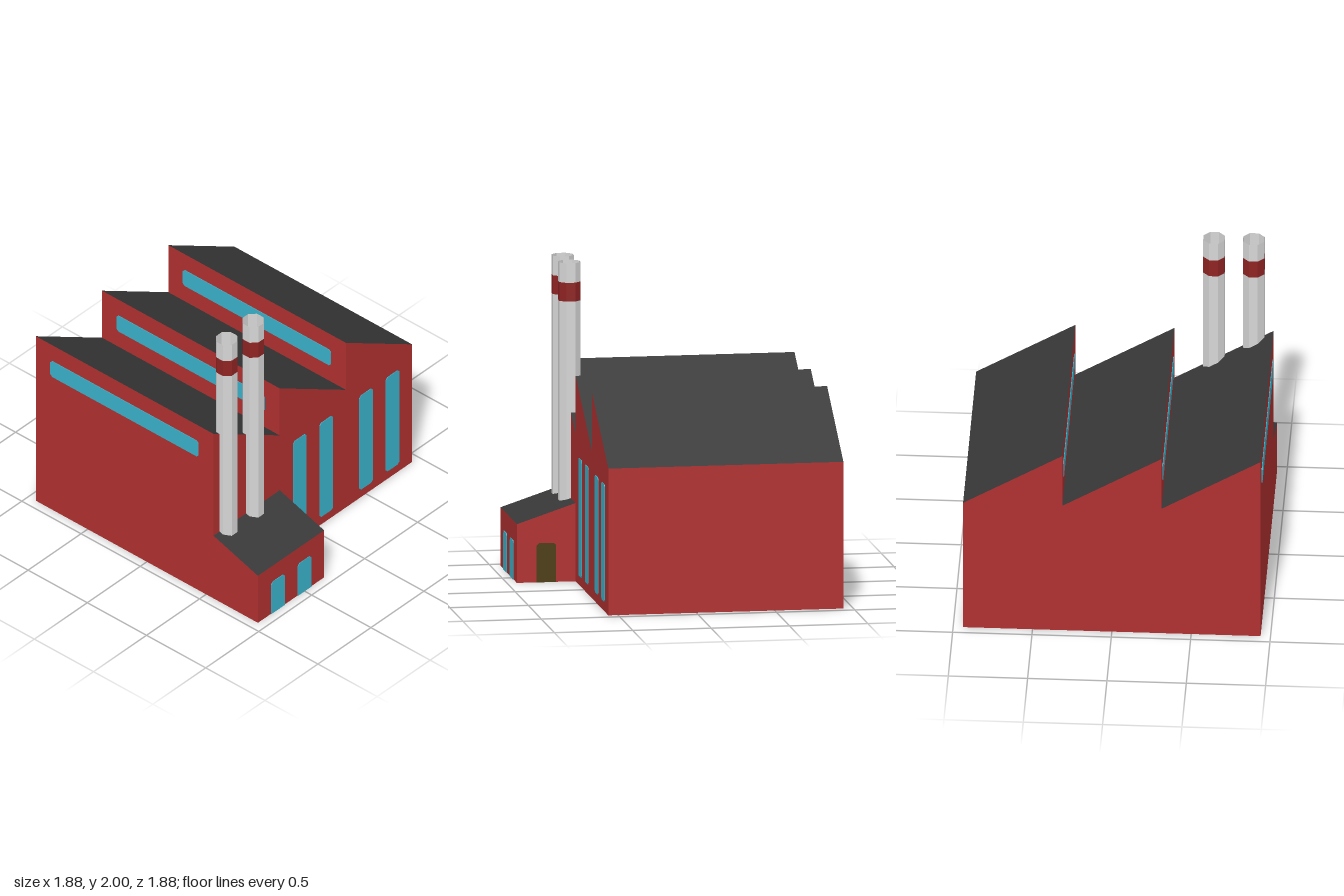
import * as THREE from 'three';
import { mergeGeometries } from 'three/addons/utils/BufferGeometryUtils.js';

const material = (name, color, extra = {}) => {
  const m = new THREE.MeshStandardMaterial({ color, ...extra });
  m.name = name;
  return m;
};

export function createModel() {
  const brick = material('brick red', 0xb03030);
  const roof = material('roof charcoal', 0x383838);
  const floor = material('floor slate', 0x434b5b);
  const glass = material('window blue', 0x3ab2ca);
  const wood = material('door brown', 0x4d3c10);
  const concrete = material('chimney grey', 0xd6d6d6, { side: THREE.DoubleSide });
  const band = material('band dark red', 0x8f2323, { side: THREE.DoubleSide });

  const model = new THREE.Group();
  model.name = 'factory';

  const add = (parent, name, geometry, mat) => {
    const mesh = new THREE.Mesh(geometry, mat);
    mesh.name = name;
    parent.add(mesh);
    return mesh;
  };

  // One rectangular face swept along z from a profile edge a-b
  const edgeFace = (a, b, z0, z1) => {
    const g = new THREE.PlaneGeometry(1, 1);
    const corners = [[...a, z1], [...b, z1], [...a, z0], [...b, z0]];
    corners.forEach((c, i) => g.attributes.position.setXYZ(i, ...c));
    g.setIndex([0, 2, 3, 0, 3, 1]);
    g.computeVertexNormals();
    return g;
  };

  // Building: counter-clockwise profile of [x, y, material of the edge that starts here]
  const building = (name, profile, z0, z1) => {
    const group = new THREE.Group();
    group.name = name;
    const pts = profile.map(([x, y]) => [x, y]);
    const shape = new THREE.Shape(pts.map((p) => new THREE.Vector2(...p)));
    const near = new THREE.ShapeGeometry(shape).translate(0, 0, z1);
    const far = new THREE.ShapeGeometry(shape).translate(0, 0, z0);
    far.index.array.reverse();
    far.computeVertexNormals();
    const faces = new Map([[brick, [near, far]], [roof, []], [floor, []]]);
    profile.forEach(([, , mat], i) => {
      if (mat) faces.get(mat).push(edgeFace(pts[i], pts[(i + 1) % pts.length], z0, z1));
    });
    add(group, 'walls', mergeGeometries(faces.get(brick)), brick);
    add(group, 'roof', mergeGeometries(faces.get(roof)), roof);
    add(group, 'floor', mergeGeometries(faces.get(floor)), floor);
    model.add(group);
    return group;
  };

  // Main hall with three sawtooth roofs
  const E = 0.9375, FRONT = 0.5625, TOOTH = 0.625;
  const hall = [[-E, 0, floor], [E, 0, brick]];
  for (let i = 2; i >= 0; i--) {
    const x = -E + i * TOOTH;
    hall.push([x + TOOTH, 0.9375, roof], [x, 1.3125, brick]);
  }
  building('mainHall', hall, -E, FRONT);

  // Lean-to annex in front of the hall (its profile runs along -z)
  building('annex', [
    [-E, 0, floor], [-FRONT, 0, null], [-FRONT, 0.5, roof], [-E, 0.375, brick],
  ], -E, -0.3125).rotation.y = Math.PI / 2;

  // Thin plate with clipped corners; its base sits at y = 0
  const plate = (w, h, clipBottom) => {
    const c = 0.015, b = clipBottom ? c : 0, x = w / 2;
    const pts = [[-x + b, 0], [x - b, 0]];
    if (b) pts.push([x, b]);
    pts.push([x, h - c], [x - c, h], [-x + c, h], [-x, h - c]);
    if (b) pts.push([-x, b]);
    const shape = new THREE.Shape(pts.map((p) => new THREE.Vector2(...p)));
    return new THREE.ExtrudeGeometry(shape, { depth: 0.004, bevelEnabled: false });
  };

  // Tall hall windows and annex windows
  for (const x of [-0.125, 0.125, 0.5, 0.75])
    add(model, 'hallWindow', plate(0.125, 0.75, true), glass).position.set(x, 0.0625, FRONT);
  for (const x of [-0.75, -0.5])
    add(model, 'annexWindow', plate(0.125, 0.25, false), glass).position.set(x, 0, E);

  // Long skylights in the upright faces of the roof teeth
  for (let i = 0; i < 3; i++) {
    const skylight = add(model, 'skylight', plate(1.25, 0.125, true), glass);
    skylight.position.set(-E + i * TOOTH, 1.0625, -0.1875);
    skylight.rotation.y = -Math.PI / 2;
  }

  // Side door of the annex
  const door = add(model, 'door', plate(0.125, 0.25, false), wood);
  door.position.set(-0.3125, 0, 0.75);
  door.rotation.y = Math.PI / 2;

  // Open eight-sided chimneys with a painted band
  const tube = (y0, y1) => {
    const g = new THREE.CylinderGeometry(0.073, 0.073, y1 - y0, 8, 1, true, Math.PI / 8)
      .translate(0, (y0 + y1) / 2, 0).toNonIndexed();
    g.computeVertexNormals();
    return g;
  };
  for (const x of [-0.8125, -0.5625]) {
    const chimney = new THREE.Group();
    chimney.name = 'chimney';
    chimney.position.set(x, 0, FRONT);
    add(chimney, 'shaft', tube(0.005, 1.755), concrete);
    add(chimney, 'band', tube(1.755, 1.875), band);
    add(chimney, 'rim', tube(1.875, 2), concrete);
    model.add(chimney);
  }
  return model;
}
